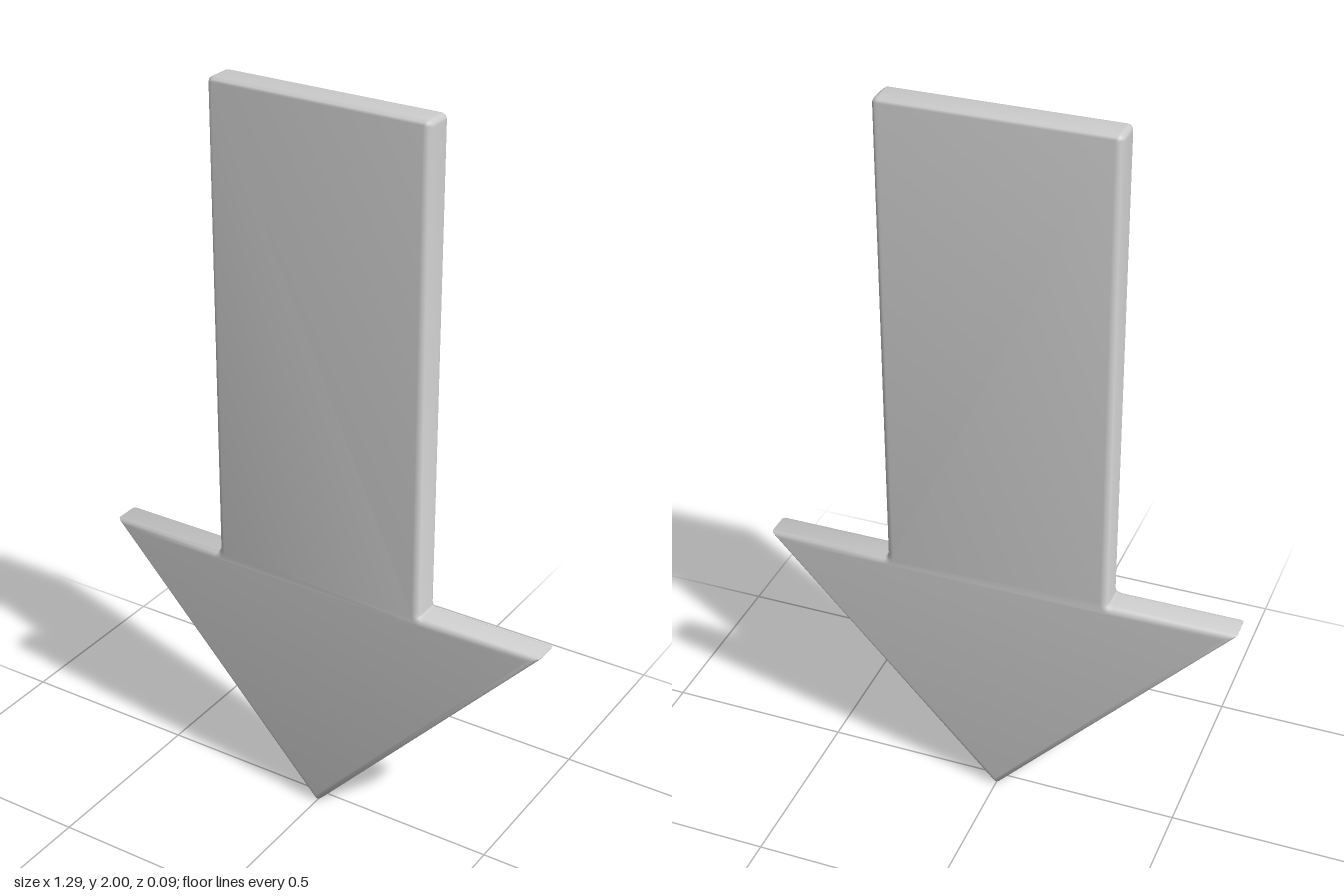
import * as THREE from 'three';
import { toCreasedNormals } from 'three/addons/utils/BufferGeometryUtils.js';

const HALF_DEPTH = 0.045, BEVEL = 0.018, ARC = 4, BEVEL_STEPS = 4;

// Right half of the outline, counter-clockwise: x, y, corner radius
const half = [[0.65, 0.695, 0.004], [0.305, 0.695, 0.015], [0.305, 2, 0.016]];
const corners = [
  [0, -0.005, 0.012],
  ...half,
  ...half.map(([x, y, r]) => [-x, y, r]).reverse(),
];

// Outline moved inward by d, with every corner rounded
function outline(d) {
  const n = corners.length, points = [];
  corners.forEach(([x, y, r], i) => {
    const p = new THREE.Vector2(x, y);
    const [px, py] = corners[(i + n - 1) % n], [nx, ny] = corners[(i + 1) % n];
    const a = new THREE.Vector2(x - px, y - py).normalize();
    const b = new THREE.Vector2(nx - x, ny - y).normalize();
    const turn = a.cross(b);
    const inward = new THREE.Vector2(-a.y - b.y, a.x + b.x);
    const corner = p.addScaledVector(inward, d / (1 + a.dot(b)));
    const radius = turn > 0 ? Math.max(r - d, 0.001) : r + d;
    const cut = radius * Math.sqrt((1 - a.dot(b)) / (1 + a.dot(b)));
    const curve = new THREE.QuadraticBezierCurve(
      corner.clone().addScaledVector(a, -cut), corner, corner.clone().addScaledVector(b, cut));
    points.push(...curve.getPoints(ARC));
  });
  return points;
}

function arrowGeometry() {
  // Rings from back to front: quarter-round bevel, straight wall, quarter-round bevel
  const front = [];
  for (let i = 0; i <= BEVEL_STEPS; i++) {
    const t = (i / BEVEL_STEPS) * Math.PI / 2;
    front.push([BEVEL * (1 - Math.cos(t)), HALF_DEPTH - BEVEL * (1 - Math.sin(t))]);
  }
  const rings = [...front.map(([d, z]) => [d, -z]).reverse(), ...front];
  const positions = [], index = [];
  for (const [d, z] of rings) for (const p of outline(d)) positions.push(p.x, p.y, z);

  const cap = outline(BEVEL), n = cap.length, last = (rings.length - 1) * n;
  for (let k = 0; k < rings.length - 1; k++) {
    for (let i = 0; i < n; i++) {
      const a = k * n + i, b = k * n + (i + 1) % n;
      index.push(a, b, b + n, a, b + n, a + n);
    }
  }
  // Flat front and back faces
  for (const [a, b, c] of THREE.ShapeUtils.triangulateShape(cap, [])) {
    index.push(last + a, last + b, last + c, a, c, b);
  }
  const geometry = new THREE.BufferGeometry();
  geometry.setAttribute('position', new THREE.Float32BufferAttribute(positions, 3));
  geometry.setIndex(index);
  return toCreasedNormals(geometry, Math.PI / 4);
}

export function createModel() {
  const group = new THREE.Group();
  group.name = 'downArrow';
  const arrow = new THREE.Mesh(arrowGeometry(), new THREE.MeshStandardMaterial({ color: 0xcccccc }));
  arrow.name = 'arrowPlate';
  group.add(arrow);
  return group;
}
